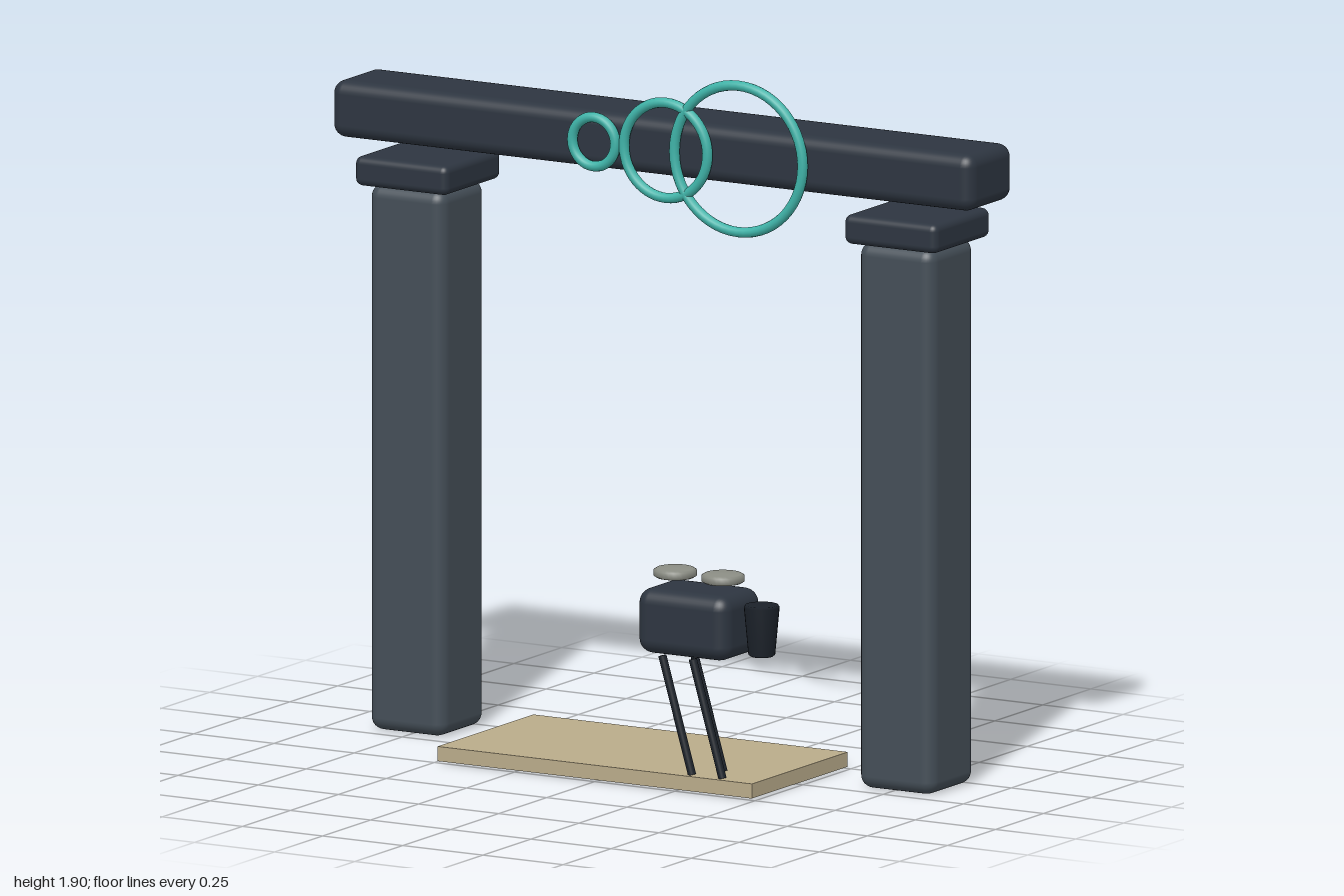
import * as THREE from 'three';
import { RoundedBoxGeometry } from 'three/addons/geometries/RoundedBoxGeometry.js';

const mat = (color) => new THREE.MeshStandardMaterial({ color });

export function createModel() {
  const group = new THREE.Group();
  const dark = mat(0x2d3540), slate = mat(0x444e57), black = mat(0x1b2129);
  const teal = mat(0x3fb3a8), sand = mat(0xb9ab8a), grey = mat(0x8b8d84);

  const add = (name, geometry, material, x, y, z, parent = group) => {
    const mesh = new THREE.Mesh(geometry, material);
    mesh.name = name;
    mesh.position.set(x, y, z);
    parent.add(mesh);
    return mesh;
  };
  const box = (w, h, d, r) => new RoundedBoxGeometry(w, h, d, 4, r);

  // Gateway: two pillars with caps and a floating beam
  for (const [side, s] of [['right', -1], ['left', 1]]) {
    add(side + 'Pillar', box(0.235, 1.49, 0.23, 0.035), slate, s * 0.763, 0.745, -0.15);
    add(side + 'Cap', box(0.29, 0.08, 0.29, 0.02), dark, s * 0.763, 1.527, -0.155);
  }
  add('beam', box(2, 0.155, 0.227, 0.035), dark, 0, 1.682, -0.153);

  // Three rings in front of the beam
  [['smallRing', -0.167, 0.067], ['middleRing', 0.057, 0.13], ['largeRing', 0.284, 0.2]].forEach(([name, x, r]) =>
    add(name, new THREE.TorusGeometry(r, 0.014, 12, 56), teal, x, 1.682, -0.025));

  // Floor slab
  add('platform', new THREE.BoxGeometry(0.98, 0.04, 0.5), sand, 0, 0.025, 0);

  // Camera on a leaning tripod
  const camera = new THREE.Group();
  camera.name = 'camera';
  group.add(camera);
  add('cameraBody', box(0.285, 0.177, 0.2, 0.04), dark, 0.291, 0.462, 0.193, camera);

  // Lens barrel, tapering downward, with softened rims
  const barrel = [[0, -0.07], [0.03, -0.07], [0.036, -0.065], [0.048, 0.064], [0.044, 0.07], [0, 0.07]]
    .map(([r, y]) => new THREE.Vector2(r, y));
  add('lensBarrel', new THREE.LatheGeometry(barrel, 24), black, 0.487, 0.454, 0.193, camera);

  // Two low domed reels above the body
  const reel = [[0, -0.014], [0.05, -0.013], [0.058, -0.008], [0.058, 0.007], [0.05, 0.012], [0, 0.014]]
    .map(([r, y]) => new THREE.Vector2(r, y));
  for (const x of [0.217, 0.366])
    add('reel', new THREE.LatheGeometry(reel, 28), grey, x, 0.585, 0.193, camera);

  // Legs lean toward +x at the foot; the middle one stands behind
  for (const [x, z] of [[0.243, 0.226], [0.29, 0.141], [0.338, 0.226]]) {
    const leg = add('tripodLeg', new THREE.CylinderGeometry(0.011, 0.011, 0.33, 12), black, x, 0.203, z, camera);
    leg.rotation.z = 0.285;
  }
  return group;
}
